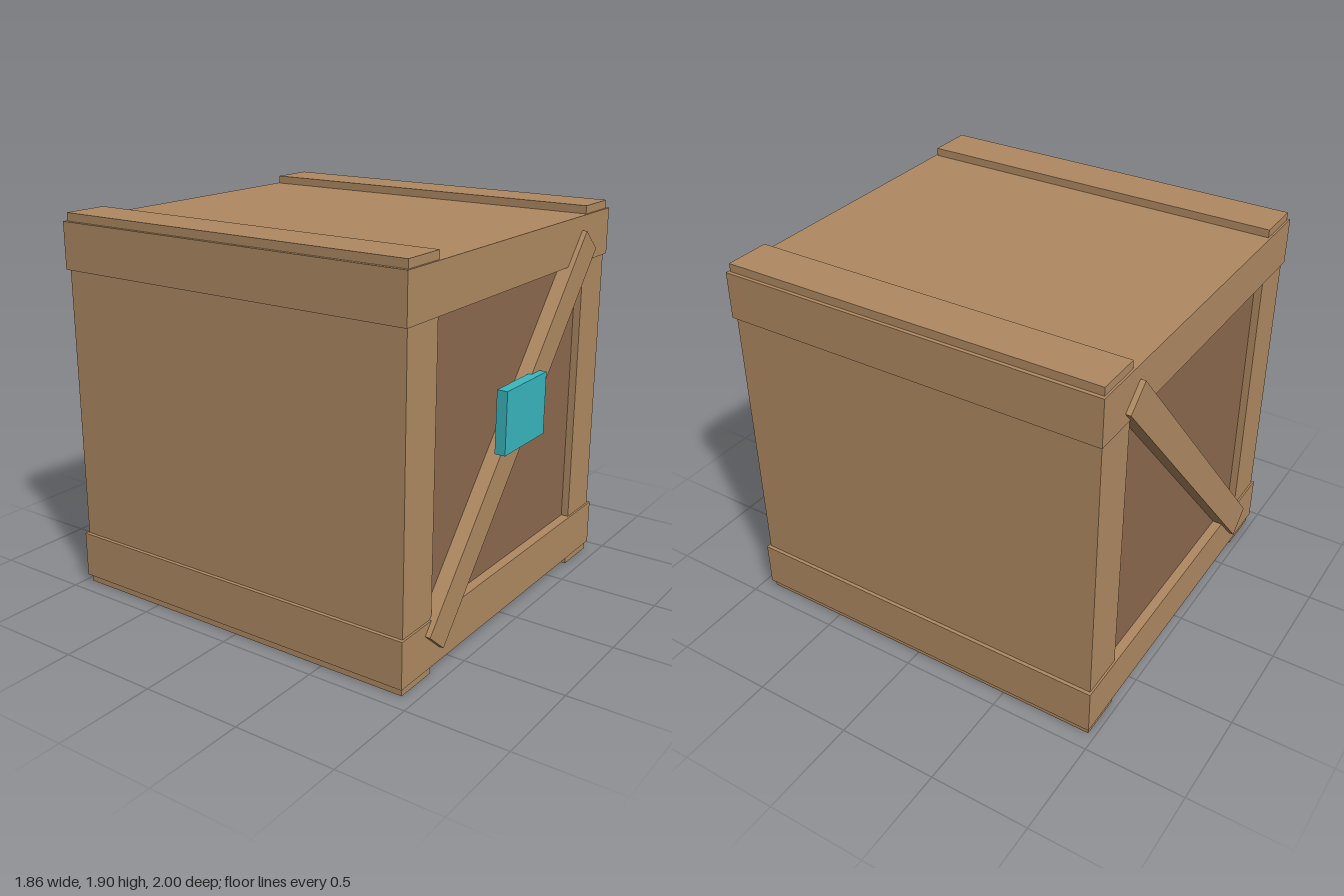
import * as THREE from 'three';

const wood = new THREE.MeshStandardMaterial({ color: 0xb08a62, flatShading: true });
const darkWood = new THREE.MeshStandardMaterial({ color: 0x8d6a4e, flatShading: true });
const teal = new THREE.MeshStandardMaterial({ color: 0x3ab8c0, flatShading: true });

// Box given by its size and centre
function block(name, size, centre, material = wood) {
  const mesh = new THREE.Mesh(new THREE.BoxGeometry(...size), material);
  mesh.name = name;
  mesh.position.set(...centre);
  return mesh;
}

export function createModel() {
  const crate = new THREE.Group();
  crate.name = 'crate';
  const midY = 0.95, midZ = -0.0175;

  // Recessed inner body
  crate.add(block('innerPanel', [1.5, 1.7, 1.82], [0, midY, midZ], darkWood));

  for (const s of [-1, 1]) {
    // Full-height side walls, whose ends show as posts
    crate.add(block(s > 0 ? 'leftWall' : 'rightWall', [0.23, 1.9, 1.895], [s * 0.797, midY, midZ]));

    // Top and bottom slabs, whose edges show as rails
    crate.add(block(s > 0 ? 'topSlab' : 'bottomSlab', [1.86, 0.23, 1.915], [0, midY + s * 0.795, midZ]));

    // Diagonal braces across front and back
    const brace = block(s > 0 ? 'frontBrace' : 'backBrace', [2.09, 0.155, 0.08], [0, midY, midZ + s * 0.9425]);
    brace.rotation.z = Math.atan2(1.575, 1.375);
    crate.add(brace);
  }

  // Blank plate on the front brace
  crate.add(block('frontPlate', [0.38, 0.305, 0.053], [0, 1.0425, 0.9735], teal));

  return crate;
}
